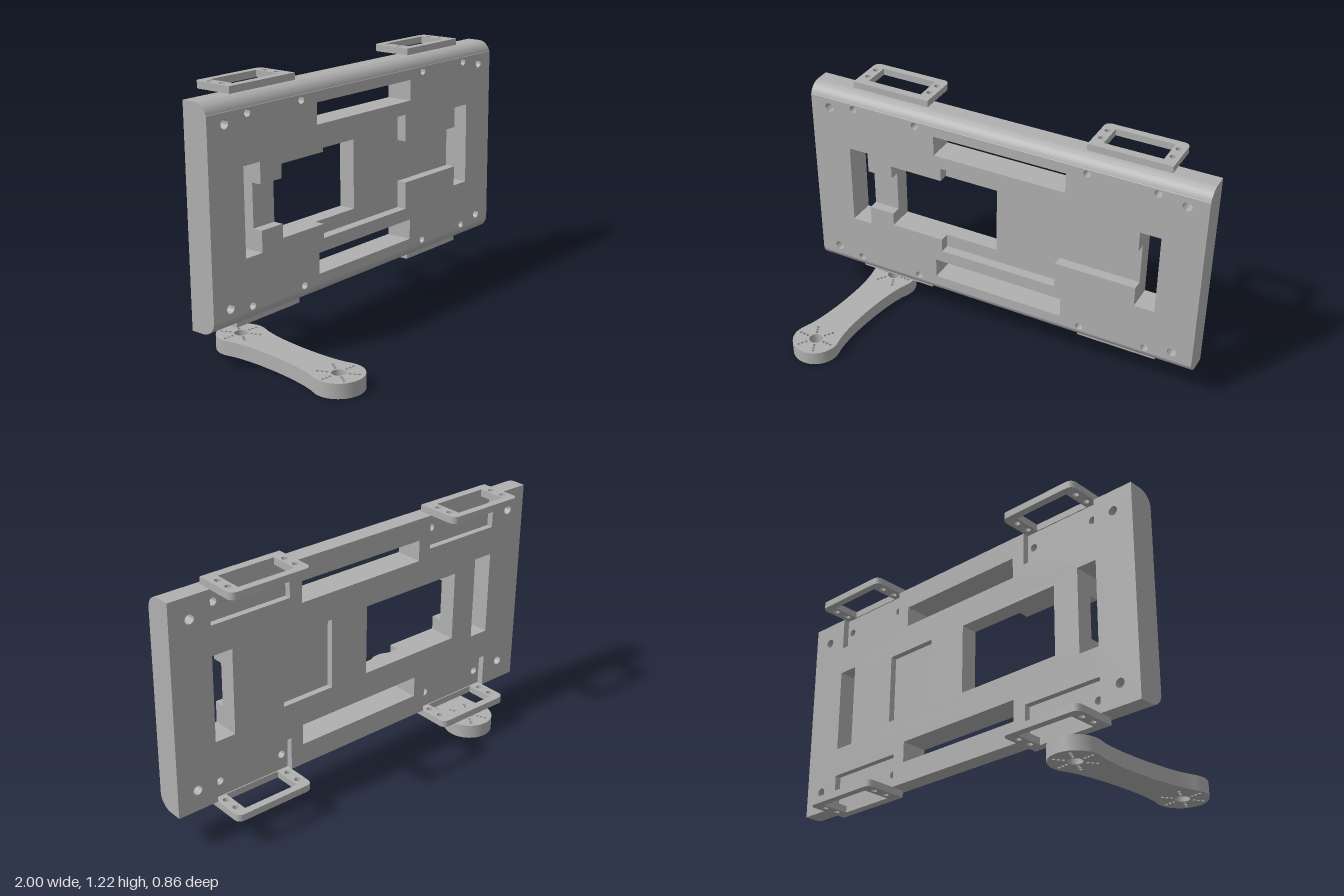
import * as THREE from 'three';
import { toCreasedNormals } from 'three/addons/utils/BufferGeometryUtils.js';

const grey = new THREE.MeshStandardMaterial({ color: 0xb0b0b0 });
grey.name = 'grey';

const MID = 0.6825;                                   // height of the plate's centre
const FRONT = -0.157, FLOOR = -0.207, SEAT = -0.225;  // depths through the plate
const POCKET = -0.26, BACK = -0.29;
const SIDES = [-1, 1];

const poly = (pts) => new THREE.Shape(pts.map(([x, y]) => new THREE.Vector2(x, y)));
const rect = (x0, y0, x1, y1) => poly([[x0, y0], [x1, y0], [x1, y1], [x0, y1]]);
const disc = (x, y, r) => new THREE.Shape().absarc(x, y, r, 0, Math.PI * 2);

function solid(name, shape, depth, holes = []) {
  shape.holes.push(...holes);
  const geo = new THREE.ExtrudeGeometry(shape, { depth, bevelEnabled: false, curveSegments: 12 });
  const mesh = new THREE.Mesh(toCreasedNormals(geo, 0.6), grey);
  mesh.name = name;
  return mesh;
}

// A slice of the plate between two depths
function slice(name, shape, z0, z1, holes) {
  const mesh = solid(name, shape, z1 - z0, holes);
  mesh.position.z = z0;
  return mesh;
}

function createPlate() {
  const plate = new THREE.Group();
  plate.name = 'plate';
  plate.position.y = MID;

  const cornerHoles = () => SIDES.flatMap((s) => SIDES.map((t) => disc(s * 0.9, t * 0.4, 0.022)));
  const screwHoles = () => SIDES.flatMap((s) => SIDES.flatMap((t) =>
    [0.435, 0.767].map((x) => disc(s * x, t * 0.425, 0.018))));
  const longSlots = () => SIDES.map((t) => rect(-0.335, t * 0.3475 - 0.05, 0.335, t * 0.3475 + 0.05));
  const windows = () => [
    rect(-0.57, -0.1675, -0.03, 0.1675),
    ...SIDES.map((s) => rect(s * 0.75 - 0.05, -0.2025, s * 0.75 + 0.05, 0.2025)),
  ];

  // Cross-shaped channel in the front, joined with the window and side slots
  const lower = [[-0.8, 0.2025], [-0.7, 0.2025], [-0.7, 0.1025], [-0.57, 0.1025], [-0.57, 0.1675],
    [-0.3, 0.1675], [-0.3, 0.235], [0.3, 0.235], [0.3, 0.1025], [0.7, 0.1025], [0.7, 0.2025], [0.8, 0.2025]];
  const channel = poly([...lower.map(([x, y]) => [x, -y]), ...[...lower].reverse()]);

  const face = () => rect(-1, -0.448, 1, 0.448);
  plate.add(slice('frontLayer', face(), FLOOR, FRONT,
    [channel, ...longSlots(), ...cornerHoles(), ...screwHoles()]));
  plate.add(slice('channelFloor', face(), SEAT, FLOOR,
    [...windows(), ...longSlots(), ...cornerHoles(), ...screwHoles()]));

  // Back layers, notched where the brackets are seated
  const edge = [[-1, 0.5], [-0.8, 0.5], [-0.8, 0.34], [-0.4, 0.34], [-0.4, 0.5],
    [0.4, 0.5], [0.4, 0.34], [0.8, 0.34], [0.8, 0.5], [1, 0.5]];
  const notched = () => poly([...edge.map(([x, y]) => [x, -y]), ...[...edge].reverse()]);
  const cuts = () => [...windows(), ...longSlots(), ...cornerHoles()];
  plate.add(slice('innerLayer', notched(), POCKET, SEAT, cuts()));
  plate.add(slice('backLayer', notched(), BACK, POCKET,
    [...cuts(), rect(0.17, -0.1675, 0.44, 0.1675)]));

  // Rounded front edges along the top and bottom
  for (const t of SIDES) {
    const pts = [[-SEAT, 0.448], [-FRONT, 0.448]];
    for (let i = 0; i <= 10; i++) {
      const a = THREE.MathUtils.lerp(0.25, Math.PI / 2, i / 10);
      pts.push([-SEAT - 0.068 * Math.cos(a), 0.433 + 0.067 * Math.sin(a)]);
    }
    const strip = solid('roundedEdge', poly(pts.map(([x, y]) => [x, t * y])), 2);
    strip.rotation.y = Math.PI / 2;
    strip.position.x = -1;
    plate.add(strip);
  }
  return plate;
}

// L-shaped bracket: a leg set into the plate and a framed flange pointing back
function createBracket(s, t) {
  const bracket = new THREE.Group();
  bracket.name = 'bracket';
  bracket.position.set(s * 0.6, MID, 0);

  const leg = slice('bracketLeg', rect(-0.2, t * 0.42 - 0.08, 0.2, t * 0.42 + 0.08), POCKET, SEAT,
    [-0.166, 0.166].map((x) => disc(x, t * 0.425, 0.018)));

  const r = 0.03, far = 0.435;
  const outline = new THREE.Shape();
  outline.moveTo(-0.2, -SEAT);
  outline.lineTo(0.2, -SEAT);
  outline.absarc(0.2 - r, far - r, r, 0, Math.PI / 2);
  outline.absarc(-0.2 + r, far - r, r, Math.PI / 2, Math.PI);
  const holes = SIDES.flatMap((k) => [0.3, 0.37].map((z) => disc(k * 0.167, z, 0.014)));
  const flange = solid('bracketFlange', outline, 0.0325, [rect(-0.14, 0.265, 0.14, 0.4), ...holes]);
  flange.rotation.x = -Math.PI / 2;
  flange.position.y = t > 0 ? 0.5 : -0.5325;

  bracket.add(leg, flange);
  return bracket;
}

// Waisted arm with a ring of small holes at each end
function createArm() {
  const h = 0.317, r = 0.114, a = 0.35, pull = 0.12;
  const px = r * Math.cos(a), py = h - r * Math.sin(a);
  const cx = px - pull * Math.sin(a), cy = py - pull * Math.cos(a);
  const outline = new THREE.Shape();
  outline.moveTo(px, -py);
  outline.bezierCurveTo(cx, -cy, cx, cy, px, py);
  outline.absarc(0, h, r, -a, Math.PI + a);
  outline.bezierCurveTo(-cx, cy, -cx, -cy, -px, -py);
  outline.absarc(0, -h, r, Math.PI - a, Math.PI * 2 + a);

  const holes = [];
  for (const t of SIDES) {
    holes.push(disc(0, t * h, 0.033));
    for (let i = 0; i < 6; i++) {
      const ang = i * Math.PI / 3 + 0.03;
      for (const d of [0.05, 0.07, 0.09]) {
        holes.push(disc(d * Math.cos(ang), t * h + d * Math.sin(ang), 0.008));
      }
    }
  }
  const arm = solid('arm', outline, 0.068, holes);
  arm.rotation.set(-Math.PI / 2, 0, -0.103);
  arm.position.set(-0.7175, 0, -0.002);
  return arm;
}

export function createModel() {
  const model = new THREE.Group();
  model.name = 'mountingPlate';
  model.add(createPlate());
  for (const s of SIDES) for (const t of SIDES) model.add(createBracket(s, t));
  model.add(createArm());
  return model;
}
